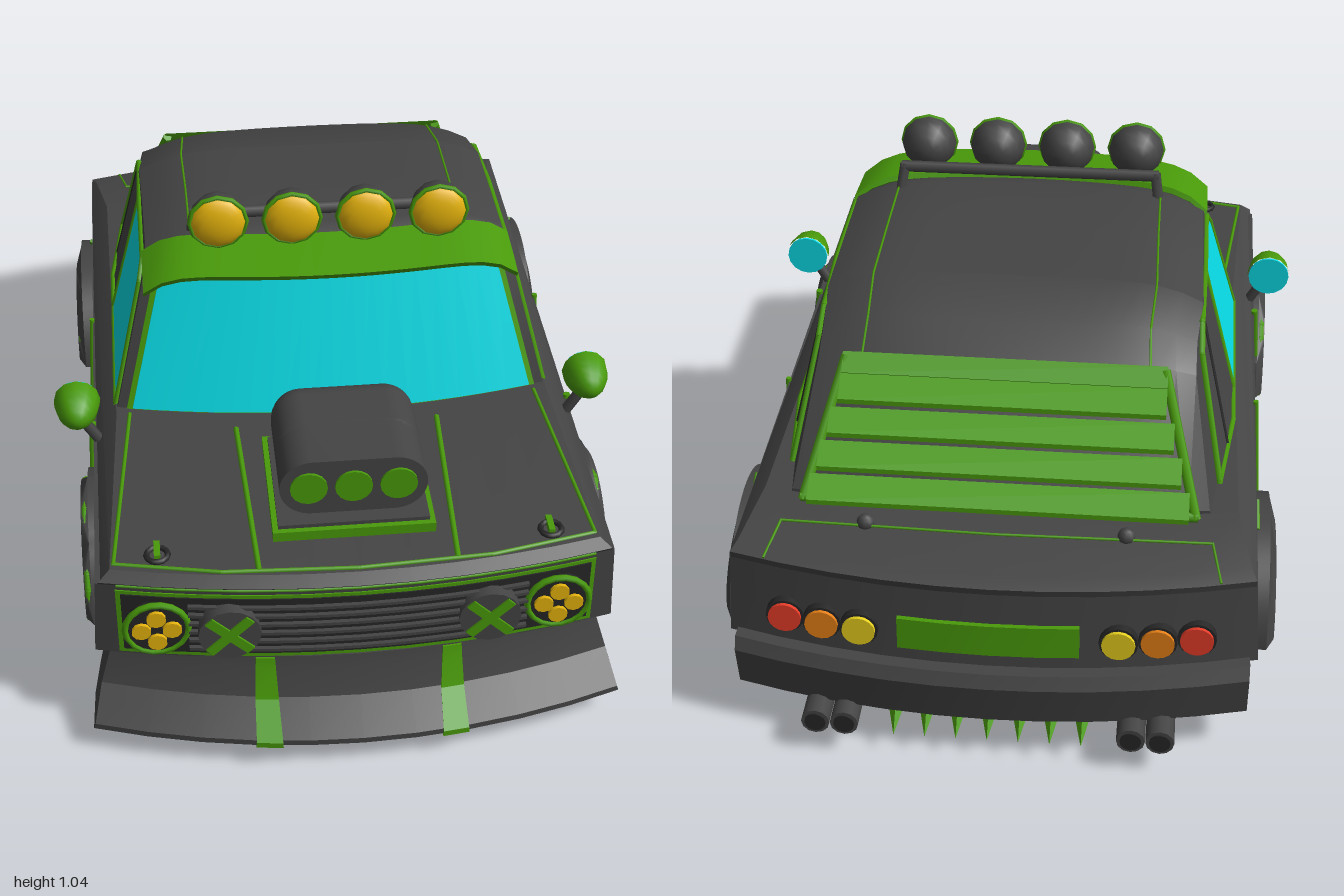
import * as THREE from 'three';
import { mergeGeometries, toCreasedNormals } from 'three/addons/utils/BufferGeometryUtils.js';
import { RoundedBoxGeometry } from 'three/addons/geometries/RoundedBoxGeometry.js';

const paint = (name, color) => Object.assign(new THREE.MeshStandardMaterial({ color }), { name });
const M = {
  body: paint('charcoal', 0x444444), green: paint('green', 0x499a0a), glass: paint('cyan glass', 0x08dce6),
  yellow: paint('yellow lamp', 0xe6b40c), orange: paint('orange lamp', 0xf28618), red: paint('red lamp', 0xe83c28),
  lemon: paint('lemon lamp', 0xecd41e), black: paint('black', 0x262626), tyre: paint('tyre', 0x484848), metal: paint('metal', 0x8a8a8a),
};
const V = (x, y, z) => new THREE.Vector3(x, y, z);
const poly = pts => new THREE.Shape(pts.map(p => new THREE.Vector2(...p)));
const clamp = THREE.MathUtils.clamp;

// Side widths and the bowed front and rear
const bodyW = y => 0.595 - 0.06 * (y - 0.2);
const cabW = (y, z) => 0.52 - 0.257 * (y - 0.5) - 0.12 * Math.max(0, -z - 0.3);
const bend = (x, z) => z > 0.75 ? z - 0.2 * x * x : z < -0.8 ? z + 0.24 * x * x : z;
const cab = (t, y, z) => {
  const yy = y - 0.05 * t ** 6 * clamp((y - 0.7) / 0.15, 0, 1);
  return [t * cabW(yy, z), yy, z * (1 - (z > 0 ? 0.18 : z < -0.4 ? 0.05 : 0) * t * t)];
};

export function createModel() {
  const car = new THREE.Group();
  car.name = 'car';

  const add = (name, geo, mat, pos = [0, 0, 0], parent = car) => {
    const m = new THREE.Mesh(geo, mat);
    m.name = name;
    m.position.set(...pos);
    parent.add(m);
    return m;
  };
  // Extrudes a (z, y) profile across the car; f places each point, X runs -1..1
  const slab = (name, shape, mat, f, steps = 1) => {
    const g = new THREE.ExtrudeGeometry(shape, { depth: 2, steps, bevelEnabled: false, curveSegments: 14 });
    const p = g.attributes.position;
    for (let i = 0; i < p.count; i++) p.setXYZ(i, ...f(1 - p.getZ(i), p.getY(i), p.getX(i)));
    return add(name, toCreasedNormals(g, 0.5), mat);
  };
  // Thin bar along a list of points
  const trim = (name, pts, r = 0.006, mat = M.green) => {
    const parts = pts.slice(1).map((b, i) => {
      const a = pts[i], d = b.clone().sub(a);
      const g = new THREE.CylinderGeometry(r, r, d.length() + r, 6);
      g.applyQuaternion(new THREE.Quaternion().setFromUnitVectors(V(0, 1, 0), d.clone().normalize()));
      const c = a.clone().add(b).multiplyScalar(0.5);
      return g.translate(c.x, c.y, c.z);
    });
    return add(name, mergeGeometries(parts), mat);
  };
  const disc = (name, r, depth, mat, pos, seg = 16) =>
    add(name, new THREE.CylinderGeometry(r, r, depth, seg).rotateX(Math.PI / 2), mat, pos);

  // Lower body with wheel arches
  const low = new THREE.Shape();
  low.moveTo(0.88, 0.24); low.lineTo(0.89, 0.455); low.lineTo(-0.93, 0.455); low.lineTo(-0.94, 0.24);
  low.lineTo(-0.74, 0.2); low.absellipse(-0.54, 0.2, 0.2, 0.14, Math.PI, 0, true);
  low.lineTo(-0.34, 0.18); low.lineTo(0.27, 0.18); low.lineTo(0.27, 0.2);
  low.absellipse(0.47, 0.2, 0.2, 0.2, Math.PI, 0, true);
  slab('lowerBody', low, M.body, (X, y, z) => [X * bodyW(y), y, bend(X * bodyW(y), z)], 10);

  // Hood and trunk deck
  const deckW = y => 0.578 - 1.2 * Math.max(0, y - 0.46);
  slab('deck', poly([[0.88, 0.44], [0.897, 0.465], [0.875, 0.487], [0.3, 0.507], [-0.65, 0.495], [-0.9, 0.47], [-0.935, 0.46], [-0.93, 0.44]]),
    M.body, (X, y, z) => [X * deckW(y), y, bend(X * deckW(y), z)], 10);

  // Cabin, with the rear half narrowing
  const roof = [[0.22, 0.85], [0.17, 0.885], [0.1, 0.9], [-0.1, 0.892], [-0.3, 0.872], [-0.45, 0.84], [-0.53, 0.78]];
  slab('cabinFront', poly([[0.33, 0.46], [0.33, 0.5], ...roof.slice(0, 5), [-0.3, 0.46]]), M.body, cab, 20);
  slab('cabinRear', poly([[-0.3, 0.46], ...roof.slice(4), [-0.7, 0.5], [-0.7, 0.46]]), M.body, cab, 20);
  const shield = (name, mat, y0, y1, inset, off) => {
    const wz = y => 0.33 - 0.314 * (y - 0.5) + off;
    slab(name, poly([[wz(y0), y0], [wz(y1), y1], [wz(y1) - 0.008, y1], [wz(y0) - 0.008, y0]]), mat,
      (X, y, z) => cab(X * (1 - inset / cabW(y, z)), y, z), 16);
  };
  shield('windshieldFrame', M.green, 0.502, 0.85, 0.022, 0.004);
  shield('windshield', M.glass, 0.51, 0.845, 0.035, 0.008);

  // Windshield visor
  slab('visor', poly([[0.312, 0.888], [0.302, 0.872], [0.225, 0.848], [0.15, 0.89], [0.155, 0.903]]), M.green, (X, y, z) =>
    [X * 0.44, y - (y < 0.86 ? 0.07 : 0.058) * X ** 8, z - 0.05 * X * X], 20);

  // Rear window louvres
  for (let i = 0; i < 4; i++) {
    const z = -0.525 - 0.039 * i, y = 0.775 - 0.065 * i, hw = 0.365 + 0.02 * i;
    slab('louvre', poly([[z - 0.042, y - 0.02], [z - 0.102, y - 0.05], [z - 0.102, y - 0.062], [z - 0.05, y - 0.062]]), M.green,
      (X, py, pz) => [X * hw, py, pz]);
  }
  slab('louvreHead', poly([[-0.53, 0.79], [-0.565, 0.755], [-0.555, 0.735], [-0.54, 0.76]]), M.green, (X, y, z) => [X * 0.365, y, z]);

  // Roof light bar with four lamps
  trim('lightBar', [V(-0.32, 0.87, 0.08), V(-0.31, 0.937, 0.1), V(0.31, 0.937, 0.1), V(0.32, 0.87, 0.08)], 0.014, M.body);
  for (const x of [-0.258, -0.086, 0.086, 0.258]) {
    const lamp = new THREE.Group();
    lamp.name = 'roofLamp';
    lamp.position.set(x, 0.967, 0.183);
    car.add(lamp);
    const dome = s => new THREE.SphereGeometry(0.068, 12, 5, 0, Math.PI * 2, 0, Math.PI / 2).rotateX(s * Math.PI / 2);
    add('lampShell', dome(-1).scale(1, 1, 1.1), M.body, [0, 0, 0], lamp);
    add('lampLens', dome(1).scale(0.95, 0.95, 0.4), M.yellow, [0, 0, 0.004], lamp);
    add('lampRim', new THREE.TorusGeometry(0.066, 0.006, 6, 12), M.green, [0, 0, 0.003], lamp);
  }

  // Supercharger scoop on the hood
  add('scoopFrame', new THREE.BoxGeometry(0.365, 0.025, 0.34), M.green, [0, 0.507, 0.6]);
  add('scoopBase', new THREE.BoxGeometry(0.34, 0.024, 0.315), M.body, [0, 0.517, 0.6]);
  add('scoopNeck', new THREE.BoxGeometry(0.22, 0.06, 0.24), M.body, [0, 0.54, 0.58]);
  add('scoopBack', new RoundedBoxGeometry(0.33, 0.147, 0.24, 4, 0.07), M.body, [0, 0.618, 0.55]);
  const pill = new THREE.Shape();
  pill.absarc(0.092, 0, 0.073, -Math.PI / 2, Math.PI / 2);
  pill.absarc(-0.092, 0, 0.073, Math.PI / 2, Math.PI * 1.5);
  add('scoopFront', toCreasedNormals(new THREE.ExtrudeGeometry(pill, { depth: 0.19, bevelEnabled: false }), 0.5), M.body, [0, 0.618, 0.55]);
  for (const x of [-0.1, 0, 0.1]) disc('scoopIntake', 0.042, 0.008, M.green, [x, 0.62, 0.742]);

  // Grille, its frame and bars
  const strip = (name, mat, y0, y1, hw, off) => slab(name,
    poly([[0.88 + off, y0], [0.88 + off, y1], [0.872, y1], [0.872, y0]]), mat, (X, y, z) => [X * hw, y, bend(X * hw, z)], 10);
  strip('grilleFrame', M.green, 0.256, 0.441, 0.537, 0.012);
  strip('grillePanel', M.black, 0.268, 0.432, 0.526, 0.015);
  for (let i = 0; i < 6; i++) strip('grilleBar', M.body, 0.282 + i * 0.025, 0.29 + i * 0.025, 0.38, 0.024);

  // Front splitter with two stripes
  const lip = o => poly([[0.89 + o, 0.25], [0.895 + o, 0.22], [0.92 + o, 0.15], [0.995 + o, 0.088], [0.995 + o, 0.073],
    [0.9, 0.09], [0.85, 0.14], [0.76, 0.19], [0.74, 0.24]]);
  const lipW = y => 0.605 - 0.3 * (y - 0.08);
  slab('splitter', lip(0), M.body, (X, y, z) => [X * lipW(y), y, z - 0.28 * (X * lipW(y)) ** 2 * clamp((z - 0.7) / 0.15, 0, 1)], 10);

  // Rear bumper, plate and diffuser teeth
  slab('rearBumper', poly([[-0.76, 0.12], [-0.76, 0.25], [-0.97, 0.25], [-0.985, 0.22], [-0.965, 0.115]]), M.body,
    (X, y, z) => [X * 0.575, y, bend(X * 0.575, z)], 10);
  slab('rearPlate', poly([[-0.93, 0.285], [-0.93, 0.365], [-0.945, 0.365], [-0.947, 0.285]]), M.green,
    (X, y, z) => [X * 0.2, y, bend(X * 0.2, z)], 4);
  for (let i = -3; i <= 3; i++) {
    const tooth = add('diffuserTooth', toCreasedNormals(new THREE.ConeGeometry(0.044, 0.17, 4), 0.3), M.green, [i * 0.07, 0.113, -0.91]);
    tooth.rotation.x = -2.15;
  }

  // Underside: engine bay, rails and axles
  add('engineBay', new THREE.BoxGeometry(0.72, 0.22, 0.44), M.black, [0, 0.3, 0.47]);
  add('underTray', new THREE.BoxGeometry(0.94, 0.006, 0.58), M.black, [0, 0.178, -0.035]);
  for (const x of [-0.2, 0, 0.2]) add('floorRail', new THREE.BoxGeometry(0.11, 0.04, 0.66), M.body, [x, 0.165, -0.02]);
  for (const z of [0.47, -0.54]) trim('axle', [V(-0.55, 0.2, z), V(0.55, 0.2, z)], 0.03, M.body);

  // Green line under the hood edge
  const nose = Array.from({ length: 9 }, (_, i) => (i - 4) * 0.133);
  trim('noseLine', nose.map(x => V(x, 0.457, bend(x, 0.893))), 0.004);

  for (const s of [-1, 1]) {
    slab('splitterStripe', lip(0.005), M.green, (X, y, z) => {
      const x = s * 0.212 + X * (0.03 - 0.05 * (y - 0.08));
      return [x, y - (z < 0.91 && y < 0.2 ? -0.01 : 0.003), z - 0.28 * x * x];
    });

    // Side glass
    const pane = (name, pts, mat, off) => slab(name, poly(pts), mat,
      (X, y, z) => [s * (cabW(y, z) + (X * s > 0 ? off : -0.004)), y, z]);
    pane('frontDoorGlass', [[0.24, 0.508], [0.145, 0.79], [0.1, 0.822], [-0.15, 0.817], [-0.15, 0.505]], M.glass, 0.005);
    pane('rearDoorGlass', [[-0.175, 0.51], [-0.175, 0.805], [-0.33, 0.795], [-0.39, 0.51]], M.body, 0.004);
    pane('quarterGlass', [[-0.36, 0.79], [-0.42, 0.75], [-0.52, 0.51], [-0.415, 0.51]], M.body, 0.004);
    const side = (z, y) => V(s * (cabW(y, z) + 0.002), y, z);
    trim('windowFrame', [side(0.25, 0.5), side(0.15, 0.79), side(0.11, 0.828), side(-0.16, 0.823), side(-0.36, 0.805),
      side(-0.43, 0.765), side(-0.55, 0.498), side(-0.3, 0.5), side(0.25, 0.5)], 0.008);
    trim('doorPillar', [side(-0.16, 0.5), side(-0.16, 0.82)], 0.008);
    trim('quarterDivider', [side(-0.345, 0.79), side(-0.405, 0.5)], 0.005, M.black);

    // Door seams and sill
    const flank = (z, y) => V(s * (bodyW(y) + 0.002), y, z);
    trim('doorSeam', [flank(-0.16, 0.46), flank(-0.16, 0.175), flank(0.25, 0.175)], 0.007);
    trim('frontDoorEdge', [flank(0.27, 0.46), flank(0.285, 0.32)], 0.009);
    trim('rearDoorEdge', [flank(-0.16, 0.175), flank(-0.33, 0.175)], 0.005);
    trim('rearSeam', [flank(-0.55, 0.45), flank(-0.6, 0.41)], 0.005);
    add('sideSkirt', new THREE.BoxGeometry(0.1, 0.12, 0.57), M.body, [s * 0.525, 0.125, -0.045]);

    // Silencer and front suspension arm
    trim('silencer', [V(s * 0.2, 0.16, -0.72), V(s * 0.34, 0.14, -0.8)], 0.06, M.body);
    add('suspensionArm', new THREE.BoxGeometry(0.12, 0.02, 0.14), M.green, [s * 0.3, 0.175, 0.52]);

    // Hood, roof and trunk seams
    trim('hoodSeam', [V(s * 0.24, 0.505, 0.38), V(s * 0.22, 0.488, 0.85)], 0.007);
    trim('fenderSeam', [V(s * 0.49, 0.507, 0.3), V(s * 0.537, 0.487, 0.8), V(s * 0.3, 0.489, 0.85), V(0, 0.489, 0.865)], 0.005);
    trim('roofSeam', roof.slice(2).map(([z, y]) => V(...cab(s * 0.77, y, z))), 0.003);
    trim('louvreFrame', [V(s * 0.36, 0.775, -0.533), V(s * 0.44, 0.507, -0.7), V(0, 0.507, -0.71)], 0.012);
    trim('trunkSeam', [V(0, 0.486, -0.775), V(s * 0.48, 0.486, -0.765), V(s * 0.5, 0.462, -0.87)], 0.003);
    add('hoodPin', new THREE.TorusGeometry(0.024, 0.007, 6, 12).rotateX(Math.PI / 2), M.black, [s * 0.44, 0.493, 0.785]);
    add('hoodPinClip', new THREE.BoxGeometry(0.014, 0.022, 0.05), M.green, [s * 0.44, 0.493, 0.775]);
    add('trunkHinge', new THREE.SphereGeometry(0.02, 8, 6), M.body, [s * 0.29, 0.49, -0.76]);

    // Headlights with four bulbs
    const hz = 0.856;
    disc('headlight', 0.068, 0.03, M.black, [s * 0.45, 0.35, hz]);
    add('headlightRing', new THREE.TorusGeometry(0.07, 0.008, 6, 18), M.green, [s * 0.45, 0.35, hz + 0.012]);
    for (const [dx, dy] of [[0.034, 0], [-0.034, 0], [0, 0.034], [0, -0.034]])
      disc('headlightBulb', 0.022, 0.01, M.yellow, [s * 0.45 + dx, 0.35 + dy, hz + 0.018], 10);

    // Covered lamps with a taped cross
    disc('coveredLamp', 0.07, 0.04, M.body, [s * 0.29, 0.35, 0.885]);
    for (const a of [1, -1])
      add('tapeCross', new THREE.BoxGeometry(0.13, 0.023, 0.008), M.green, [s * 0.29, 0.35, 0.906]).rotation.z = a * Math.PI / 4;

    // Tail lights
    [['red', 0.455], ['orange', 0.37], ['lemon', 0.285]].forEach(([c, x]) => {
      const z = bend(x, -0.945);
      disc('tailLightRim', 0.043, 0.02, M.black, [s * x, 0.325, z + 0.004]);
      disc('tailLight', 0.037, 0.02, M[c], [s * x, 0.325, z - 0.004]);
    });

    // Twin exhaust tips
    for (const x of [0.32, 0.385]) {
      disc('exhaustTip', 0.032, 0.16, M.body, [s * x, 0.095, -0.905], 12);
      disc('exhaustBore', 0.024, 0.006, M.black, [s * x, 0.095, -0.985], 12);
    }

    // Door mirror
    trim('mirrorArm', [V(s * 0.57, 0.47, 0.33), V(s * 0.605, 0.53, 0.33)], 0.013, M.body);
    add('mirrorShell', new THREE.SphereGeometry(0.055, 12, 6, 0, Math.PI * 2, 0, Math.PI / 2)
      .rotateX(Math.PI / 2).scale(1, 1, 1.7), M.green, [s * 0.612, 0.557, 0.295]);
    disc('mirrorGlass', 0.052, 0.006, M.glass, [s * 0.612, 0.557, 0.294]);

    // Flares and wheels
    for (const [z0, ry, out, xo] of [[0.47, 0.2, [0.22, 0.228], 0.615], [-0.54, 0.135, [0.235, 0.21], 0.632]]) {
      const arch = new THREE.Shape();
      arch.absellipse(z0, 0.2, ...out, 0, Math.PI, false);
      arch.absellipse(z0, 0.2, 0.195, ry, Math.PI, 0, true);
      slab('wheelFlare', arch, M.body, (X, y, z) => {
        const rim = ((z - z0) / out[0]) ** 2 + ((y - 0.2) / out[1]) ** 2 > 0.99;
        return [s * (X * s > 0 ? (rim ? xo - 0.018 : xo) : 0.55), y, z];
      });
      const arc = Array.from({ length: 17 }, (_, i) => i / 16 * Math.PI);
      trim('archTrim', arc.map(a => V(s * (xo - 0.01), 0.2 + (ry - 0.003) * Math.sin(a), z0 + 0.193 * Math.cos(a))), 0.009);

      const wheel = new THREE.Group();
      wheel.name = 'wheel';
      wheel.position.set(s * 0.488, 0.2, z0);
      wheel.rotation.y = s > 0 ? 0 : Math.PI;
      car.add(wheel);
      const ring = pts => toCreasedNormals(new THREE.LatheGeometry(pts.map(p => new THREE.Vector2(...p)), 28).rotateZ(-Math.PI / 2), 0.6);
      add('tyre', ring([[0.12, -0.095], [0.165, -0.11], [0.19, -0.09], [0.196, -0.04], [0.184, -0.036], [0.184, -0.024], [0.196, -0.02],
        [0.196, 0.02], [0.184, 0.024], [0.184, 0.036], [0.196, 0.04], [0.19, 0.09], [0.165, 0.11], [0.12, 0.095]]), M.tyre, [0, 0, 0], wheel);
      add('rimBarrel', ring([[0.108, -0.094], [0.124, -0.094], [0.124, 0.094], [0.108, 0.094], [0.108, -0.094]]), M.black, [0, 0, 0], wheel);
      add('rimRing', new THREE.TorusGeometry(0.12, 0.008, 6, 28).rotateY(Math.PI / 2), M.green, [0.096, 0, 0], wheel);
      const turn = g => g.rotateZ(Math.PI / 2);
      add('hub', turn(new THREE.CylinderGeometry(0.04, 0.045, 0.05, 12)), M.body, [0.068, 0, 0], wheel);
      add('brakeDisc', turn(new THREE.CylinderGeometry(0.075, 0.075, 0.02, 20)), M.black, [0, 0, 0], wheel);
      for (let i = 0; i < 5; i++) {
        const a = i / 5 * Math.PI * 2;
        add('spoke', new THREE.BoxGeometry(0.025, 0.1, 0.042).translate(0, 0.065, 0).rotateX(a), M.black, [0.073, 0, 0], wheel);
        add('lugNut', turn(new THREE.CylinderGeometry(0.01, 0.01, 0.014, 6)), M.metal,
          [0.096, 0.028 * Math.cos(a), 0.028 * Math.sin(a)], wheel);
      }
    }
  }
  return car;
}
